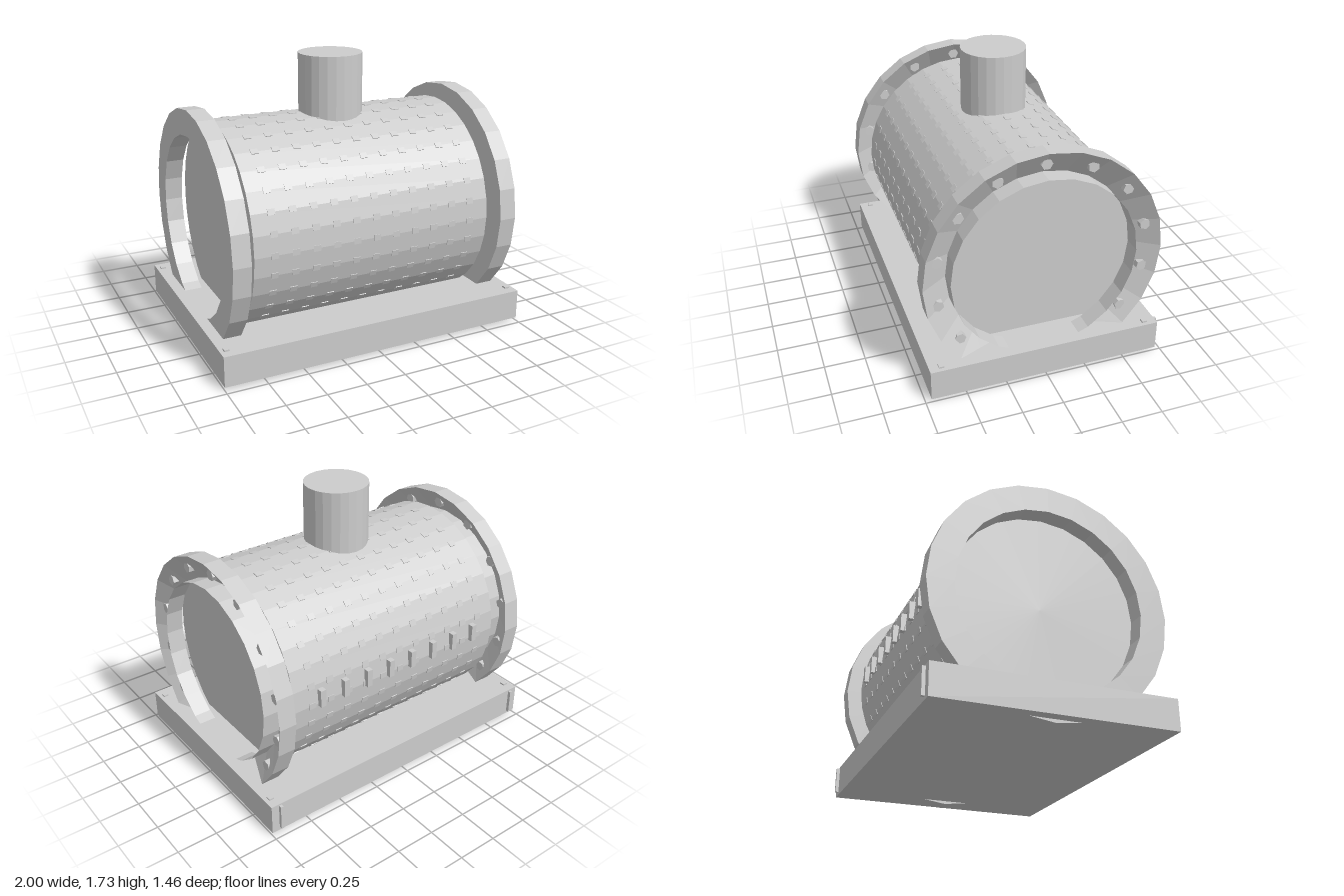
import * as THREE from 'three';
import { mergeGeometries } from 'three/addons/utils/BufferGeometryUtils.js';

const AXIS_Y = 0.725; // height of the drum axis

export function createModel() {
  const model = new THREE.Group();
  model.name = 'drumOnBase';

  const grey = new THREE.MeshStandardMaterial({ color: 0xcccccc, side: THREE.DoubleSide });
  grey.name = 'lightGrey';

  // Facets a geometry so each face is shaded flat
  const faceted = (geometry) => {
    const flat = geometry.toNonIndexed();
    flat.computeVertexNormals();
    return flat;
  };
  const add = (name, geometry, x = 0, y = 0, z = 0, parent = model) => {
    const mesh = new THREE.Mesh(geometry, grey);
    mesh.name = name;
    mesh.position.set(x, y, z);
    parent.add(mesh);
    return mesh;
  };
  const box = (name, w, h, d, x, y, z) => add(name, new THREE.BoxGeometry(w, h, d), x, y, z);

  // Base slab with corner bolts and small plates on the back edge
  box('base', 2, 0.19, 1.43, 0, 0.115, 0);
  for (const sx of [-1, 1]) {
    for (const sz of [-1, 1]) box('baseBolt', 0.032, 0.02, 0.032, sx * 0.96, 0.21, sz * 0.642);
    box('backPlate', 0.02, 0.16, 0.03, sx * 0.94, 0.12, -0.72);
  }

  // Drum lying along x
  const drum = faceted(new THREE.CylinderGeometry(0.64, 0.64, 1.55, 32));
  drum.rotateZ(-Math.PI / 2);
  add('drum', drum, 0, AXIS_Y, 0);

  // Rows of nearly flush rivets around the drum
  const rivets = [];
  for (let row = 0; row < 32; row++) {
    for (let i = -5; i <= 5; i++) {
      const rivet = new THREE.BoxGeometry(0.045, 0.02, 0.036);
      rivet.translate(i * 0.13, 0.633, 0);
      rivet.rotateX((row * Math.PI) / 16);
      rivets.push(rivet);
    }
  }
  add('drumRivets', mergeGeometries(rivets), 0, AXIS_Y, 0);

  // Upright lugs along the back of the drum
  for (let i = 0; i < 8; i++) {
    box('backLug', 0.036, 0.11, 0.05, (i - 3.5) * 0.169, 0.765, -0.642);
  }

  // Chimney
  add('chimney', faceted(new THREE.CylinderGeometry(0.2, 0.2, 0.475, 24)), 0, 1.4875, 0);

  // End rings: rim, flat back, sloping groove and inner wall
  const profile = [
    [0.565, 0.055], [0.565, -0.055], [0.725, -0.055], [0.725, 0.055], [0.565, -0.055],
  ].map(([r, y]) => new THREE.Vector2(r, y));
  const ringGeometry = faceted(new THREE.LatheGeometry(profile, 24));
  ringGeometry.rotateZ(-Math.PI / 2);

  const boltGeometry = faceted(new THREE.CylinderGeometry(0.035, 0.035, 0.06, 6));
  boltGeometry.rotateZ(-Math.PI / 2);

  for (const sx of [-1, 1]) {
    const ring = new THREE.Group();
    ring.name = 'endRing';
    ring.position.set(sx * 0.876, AXIS_Y, 0);
    add('ringBody', ringGeometry, 0, 0, 0, ring);
    for (let i = 0; i < 14; i++) {
      const a = (i / 14) * Math.PI * 2;
      const bolt = add('ringBolt', boltGeometry, -0.01, 0.645 * Math.cos(a), 0.645 * Math.sin(a), ring);
      bolt.rotation.x = a;
    }
    model.add(ring);
  }

  return model;
}
